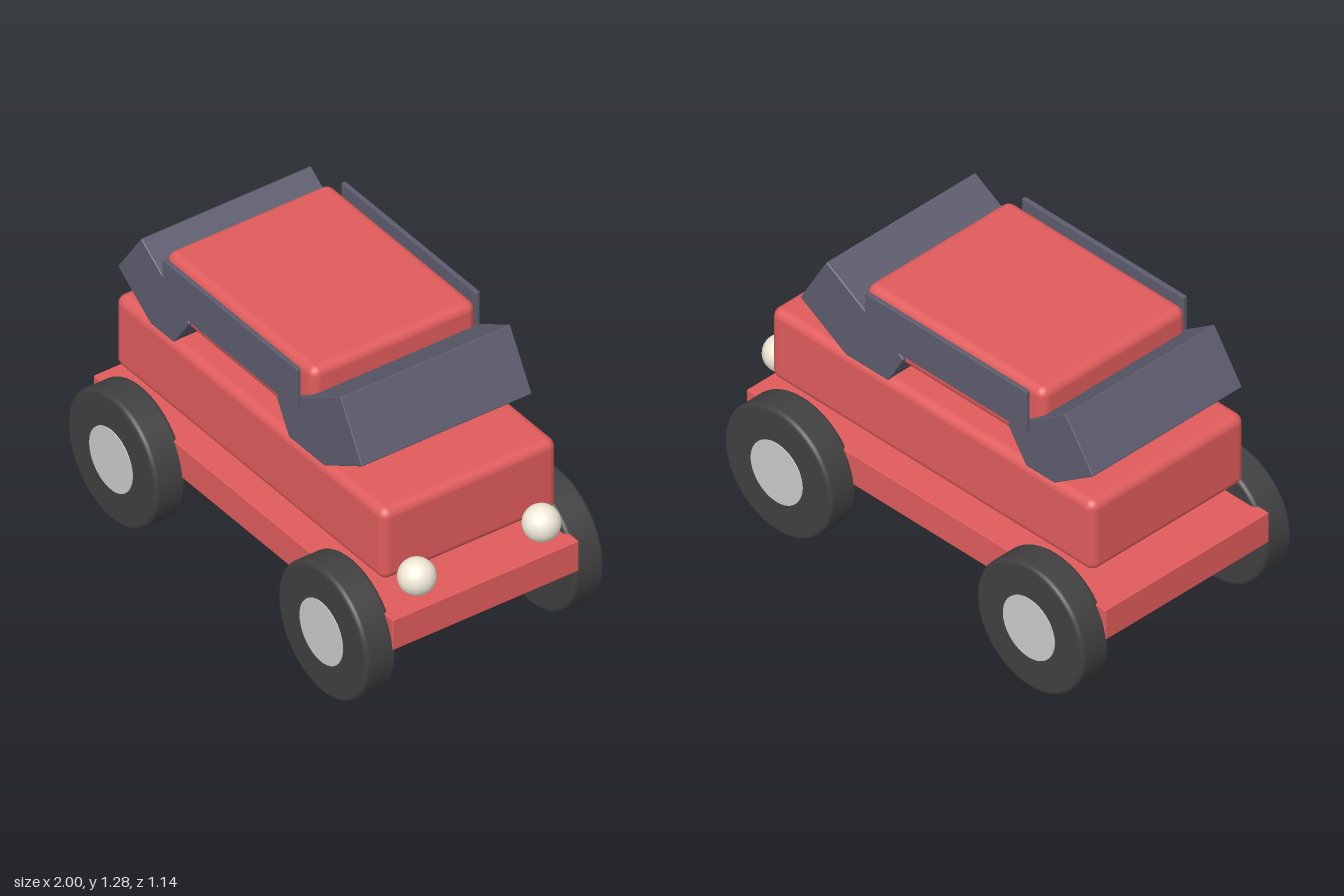
import * as THREE from 'three';
import { RoundedBoxGeometry } from 'three/addons/geometries/RoundedBoxGeometry.js';

const paint = (color) => new THREE.MeshStandardMaterial({ color });

export function createModel() {
  const car = new THREE.Group();
  car.name = 'toyCar';
  const red = paint(0xe05c5c);
  const glass = paint(0x5c5c6e);
  const rubber = paint(0x404040);
  const cream = paint(0xf0ead8);
  const grey = paint(0xcccccc);

  const add = (name, geometry, material, x, y, z, parent = car) => {
    const mesh = new THREE.Mesh(geometry, material);
    mesh.name = name;
    mesh.position.set(x, y, z);
    parent.add(mesh);
    return mesh;
  };
  const block = (name, material, size, pos, radius, tilt = 0) => {
    const mesh = add(name, new RoundedBoxGeometry(...size, 4, radius), material, ...pos);
    mesh.rotation.z = tilt;
    return mesh;
  };

  // Chassis plate, body and roof
  block('chassis', red, [1.965, 0.143, 0.883], [-0.018, 0.4, 0], 0.004);
  block('body', red, [1.765, 0.335, 0.83], [-0.018, 0.743, 0], 0.04);
  block('roof', red, [0.975, 0.285, 0.78], [-0.117, 1.14, 0], 0.04);

  // Tilted windscreens, sunk into the body
  const deg = Math.PI / 180;
  block('frontWindscreen', glass, [0.488, 0.285, 0.808], [0.427, 1.04, 0], 0.005, 30 * deg);
  block('rearWindscreen', glass, [0.386, 0.268, 0.808], [-0.658, 1.043, 0], 0.005, -34.5 * deg);

  // Wheel: tyre with rounded shoulders, profile as [radius, half-width axis]
  const R = 0.293, W = 0.073, b = 0.02;
  const profile = [new THREE.Vector2(0, -W)];
  for (const side of [-1, 1]) {
    for (let i = 0; i <= 5; i++) {
      const a = (side < 0 ? i - 5 : i) / 5 * Math.PI / 2;
      profile.push(new THREE.Vector2(R - b + b * Math.cos(a), side * (W - b) + b * Math.sin(a)));
    }
  }
  profile.push(new THREE.Vector2(0, W));
  const tyreShape = new THREE.LatheGeometry(profile, 64);
  const hubShape = new THREE.CylinderGeometry(0.141, 0.141, 0.154, 48);

  for (const side of [-1, 1]) {
    const label = side > 0 ? 'front' : 'back';
    // Side windows float just off the roof
    block(label + 'SideWindow', glass, [0.885, 0.195, 0.02], [-0.117, 1.188, side * 0.425], 0.004);

    // Headlights at the nose
    add(label + 'Headlight', new THREE.SphereGeometry(0.077, 32, 24), cream, 0.92, 0.595, side * 0.296);

    // Two wheels per side
    for (const x of [-0.709, 0.671]) {
      const wheel = new THREE.Group();
      wheel.name = label + (x > 0 ? 'NoseWheel' : 'TailWheel');
      wheel.position.set(x, 0.298, side * 0.494);
      wheel.rotation.x = Math.PI / 2;
      car.add(wheel);
      add('tyre', tyreShape, rubber, 0, 0, 0, wheel);
      add('hub', hubShape, grey, 0, 0, 0, wheel);
    }
  }
  return car;
}
